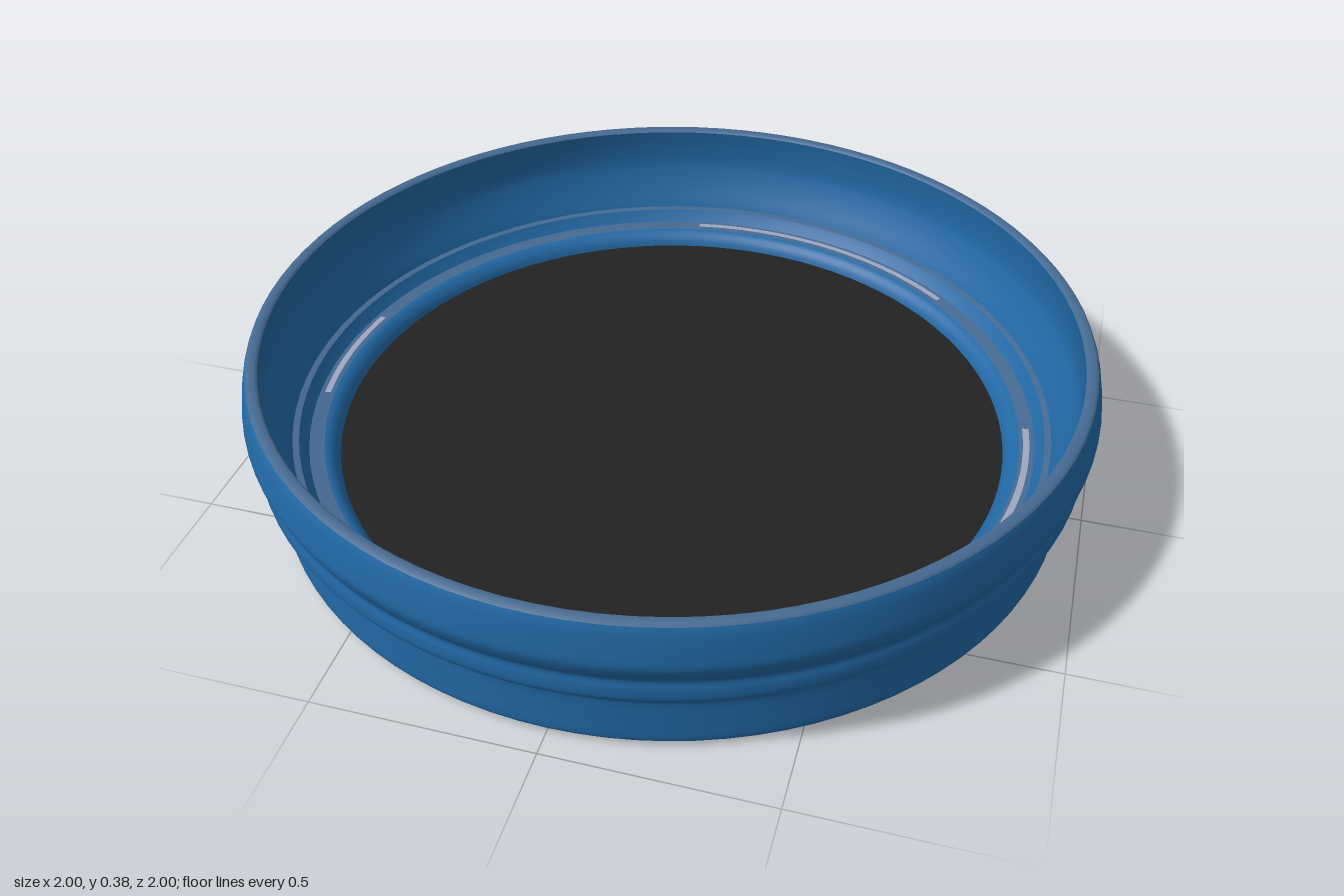
import * as THREE from 'three';

const SEGMENTS = 96;

function material(name, color) {
  const m = new THREE.MeshStandardMaterial({ color });
  m.name = name;
  return m;
}

export function createModel() {
  const blue = material('blue', 0x2168a5);
  const slate = material('slate blue', 0x466a92);
  const grey = material('pale grey', 0xa0a6c0);
  const black = material('black', 0x222222);

  const lid = new THREE.Group();
  lid.name = 'lid';

  const add = (name, geometry, mat, y = 0) => {
    const mesh = new THREE.Mesh(geometry, mat);
    mesh.name = name;
    mesh.position.y = y;
    lid.add(mesh);
    return mesh;
  };
  // Revolves [radius, height] points; samples > 0 rounds them with a spline
  const ring = (name, mat, pairs, samples = 0) => {
    let points = pairs.map(([r, y]) => new THREE.Vector2(r, y));
    if (samples) points = new THREE.SplineCurve(points).getPoints(samples);
    return add(name, new THREE.LatheGeometry(points, SEGMENTS), mat);
  };

  // Outside, from the base up over the two beads
  ring('baseRing', slate, [[0.84, 0.008], [0.935, 0.008]]);
  ring('outerWall', blue, [
    [0.935, 0.008], [0.945, 0.02], [0.943, 0.07], [0.942, 0.125], [0.958, 0.145],
    [0.98, 0.172], [0.982, 0.2], [0.978, 0.225], [0.99, 0.25], [0.999, 0.28],
    [0.995, 0.315], [0.987, 0.355], [0.98, 0.374],
  ], 60);
  ring('rim', slate, [[0.98, 0.374], [0.974, 0.38], [0.958, 0.38], [0.952, 0.374]]);

  // Inside, from the rim down to the floor
  ring('innerWall', blue, [
    [0.952, 0.374], [0.956, 0.33], [0.955, 0.28], [0.945, 0.245],
    [0.93, 0.21], [0.912, 0.175], [0.905, 0.16],
  ], 24);
  ring('upperLedge', slate, [[0.905, 0.16], [0.89, 0.158]]);
  ring('innerStep', blue, [[0.89, 0.158], [0.882, 0.145], [0.87, 0.13]]);
  ring('lowerLedge', slate, [[0.87, 0.13], [0.835, 0.127]]);
  ring('innerBead', blue, [[0.835, 0.127], [0.822, 0.122], [0.808, 0.108], [0.8, 0.09]], 10);

  // Floor and underside
  const floor = new THREE.CircleGeometry(0.802, SEGMENTS).rotateX(-Math.PI / 2);
  add('floor', floor, black, 0.092);
  const underside = new THREE.CircleGeometry(0.842, SEGMENTS).rotateX(Math.PI / 2);
  add('undersideDisc', underside, grey, 0.006);

  // Thin liner slivers showing on the lower ledge
  for (const [start, length] of [[0.85, 0.9], [2.95, 0.4], [4.35, 0.7], [5.9, 0.55]]) {
    const arc = new THREE.RingGeometry(0.843, 0.858, 24, 1, start, length).rotateX(-Math.PI / 2);
    add('linerSliver', arc, grey, 0.132);
  }

  // Low bumps under the base
  for (const [x, z] of [[-0.31, -0.83], [0.08, 0.88], [0.35, 0.82], [0.81, -0.39]]) {
    const bump = new THREE.CylinderGeometry(0.025, 0.02, 0.008, 12);
    add('baseBump', bump, slate, 0.004).position.set(x, 0.004, z);
  }
  return lid;
}
